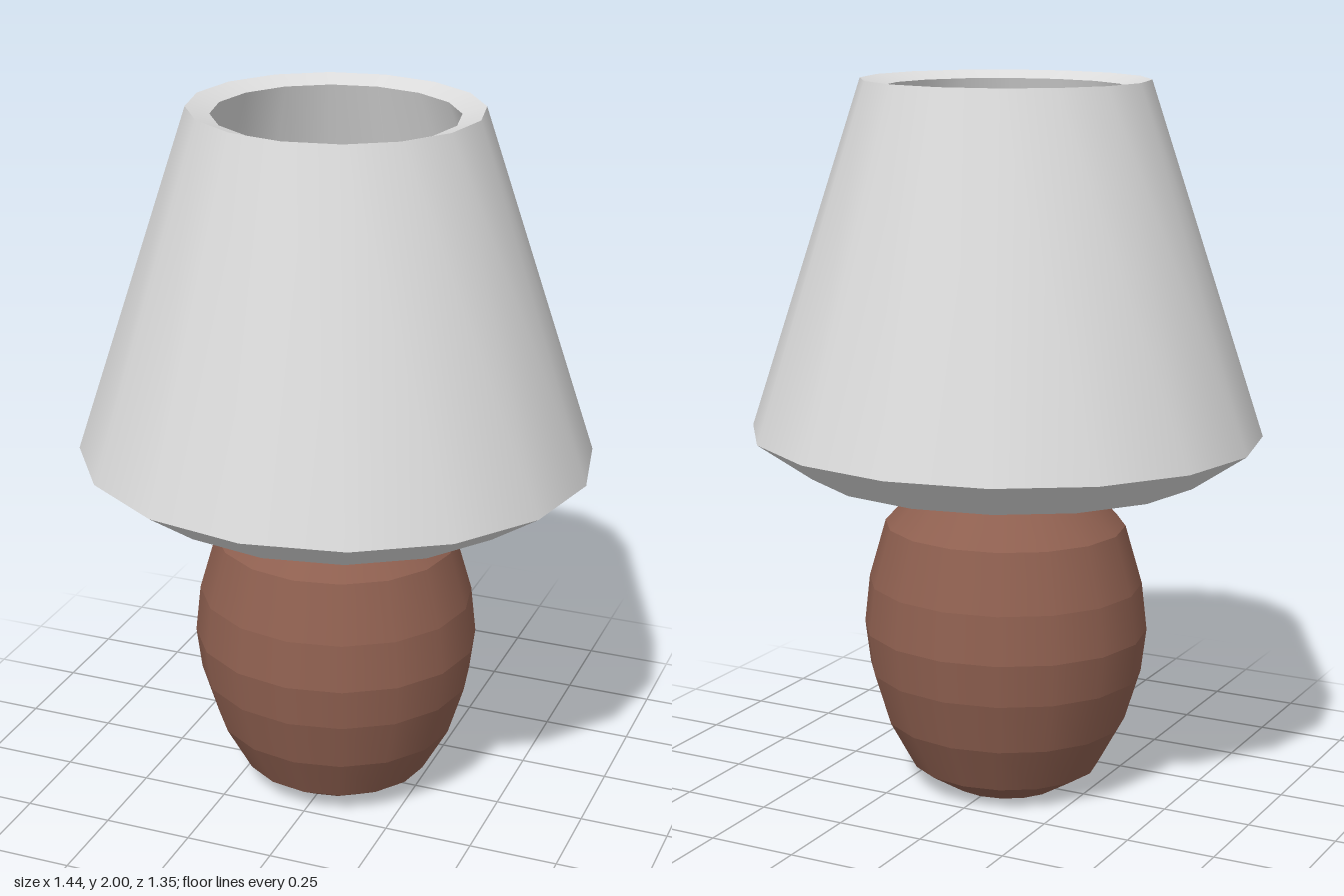
import * as THREE from 'three';
import { mergeGeometries } from 'three/addons/utils/BufferGeometryUtils.js';

const SIDES = 16;
const DEPTH = 0.935; // every ring is slightly flattened front to back

// Lathe with a hard crease at each ring but smooth shading around the axis
function bandedLathe(profile) {
  const bands = [];
  for (let i = 0; i < profile.length - 1; i++) {
    const pair = [profile[i], profile[i + 1]].map(([r, y]) => new THREE.Vector2(r, y));
    bands.push(new THREE.LatheGeometry(pair, SIDES));
  }
  return mergeGeometries(bands).scale(1, 1, DEPTH);
}

export function createModel() {
  const brown = new THREE.MeshStandardMaterial({ color: 0x8f6050 });
  brown.name = 'brown';
  const white = new THREE.MeshStandardMaterial({ color: 0xdcdcdc });
  white.name = 'shadeWhite';

  const group = new THREE.Group();
  group.name = 'tableLamp';

  const add = (name, profile, material) => {
    const mesh = new THREE.Mesh(bandedLathe(profile), material);
    mesh.name = name;
    group.add(mesh);
  };

  // Barrel-shaped base, its top just showing through the collar
  add('base', [
    [0, 0], [0.16, 0], [0.27, 0.065], [0.345, 0.2], [0.39, 0.345], [0.405, 0.465],
    [0.39, 0.6], [0.342, 0.765], [0.24, 0.875], [0.15, 0.956], [0, 0.956],
  ], brown);

  // Flat collar under the shade
  add('collar', [[0, 0.875], [0.32, 0.875], [0.32, 0.95], [0, 0.95]], brown);

  // Thick-walled shade: outer wall, sunken top rim, inner wall, bottom rim
  add('shade', [
    [0.565, 0.925], [0.72, 1.03], [0.4, 2], [0.335, 1.98],
    [0.655, 1.04], [0.54, 0.94], [0.565, 0.925],
  ], white);

  return group;
}
